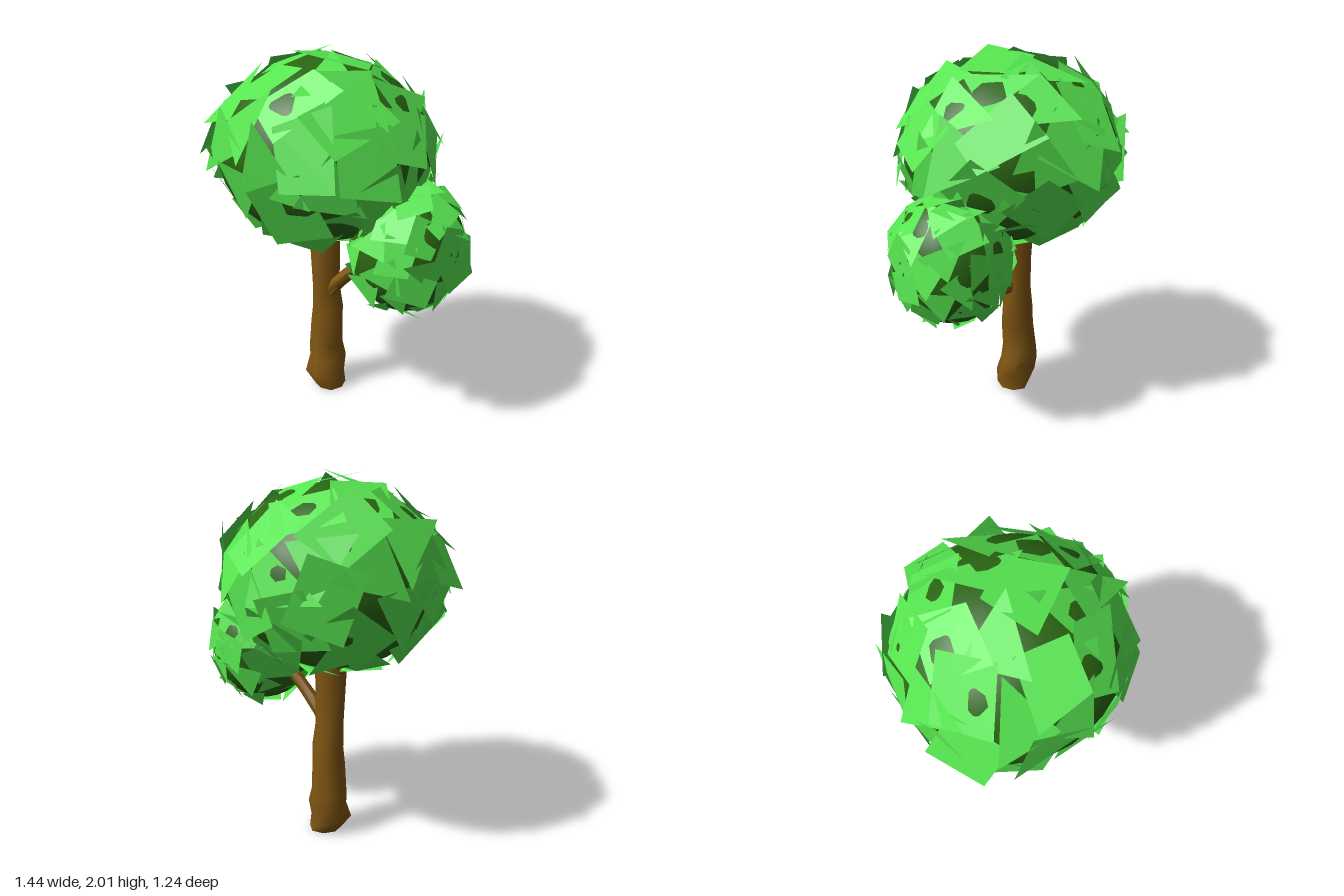
import * as THREE from 'three';
import { toCreasedNormals } from 'three/addons/utils/BufferGeometryUtils.js';

const barkMat = new THREE.MeshStandardMaterial({ color: 0x805612 });
const coreMat = new THREE.MeshStandardMaterial({ color: 0x2a6612 });
const leafMat = new THREE.MeshStandardMaterial({ color: 0x57e650, side: THREE.DoubleSide, flatShading: true });

// Small seeded random generator
function seeded(seed) {
  let s = seed;
  return () => (s = (s * 16807) % 2147483647) / 2147483647;
}

// Limb lofted through rings [x, y, z, radiusX, radiusZ], listed from the bottom up
function limb(name, rings, sides, wobble) {
  const n = rings.length - 1;
  const geo = new THREE.CylinderGeometry(1, 1, 1, sides, n);
  const p = geo.attributes.position;
  for (let i = 0; i < p.count; i++) {
    const k = Math.round((p.getY(i) + 0.5) * n);
    const [cx, cy, cz, rx, rz] = rings[k];
    const a = Math.atan2(p.getZ(i), p.getX(i));
    const w = 1 + wobble * Math.sin(3 * a + k * 1.7);
    p.setXYZ(i, cx + p.getX(i) * rx * w, cy, cz + p.getZ(i) * rz * w);
  }
  const mesh = new THREE.Mesh(toCreasedNormals(geo, 0.95), barkMat);
  mesh.name = name;
  return mesh;
}

// Dark rounded core wrapped in flat, tilted leaf sheets
function crown(name, { center, radii, count, size, lift, tilt, seed }) {
  const group = new THREE.Group();
  group.name = name;
  group.position.set(...center);
  const scale = new THREE.Vector3(...radii);

  const core = new THREE.Mesh(new THREE.IcosahedronGeometry(1, 5), coreMat);
  core.name = name + 'Core';
  core.scale.copy(scale);
  group.add(core);

  const rnd = seeded(seed);
  const spread = (v) => (rnd() - 0.5) * 2 * v;
  const zAxis = new THREE.Vector3(0, 0, 1);
  const verts = [];
  for (let i = 0; i < count; i++) {
    // even spiral over the ellipsoid
    const y = 1 - (2 * (i + 0.5)) / count;
    const a = i * 2.39996 + spread(0.1);
    const r = Math.sqrt(1 - y * y);
    const dir = new THREE.Vector3(Math.cos(a) * r, y, Math.sin(a) * r);
    const low = y < -0.5;
    const lean = low ? tilt * 2 : tilt;
    const normal = dir.clone().divide(scale).normalize();
    normal.add(new THREE.Vector3(spread(lean), spread(lean), spread(lean))).normalize();
    const q = new THREE.Quaternion().setFromUnitVectors(zAxis, normal);
    const pos = dir.multiply(scale).multiplyScalar(lift + spread(0.015));

    // irregular, slightly elongated sheet with three or four corners
    const corners = rnd() < 0.6 ? 4 : 3;
    const turn = rnd() * Math.PI * 2;
    const half = size * (low ? 0.75 : 1);
    const stretch = 1 + spread(0.15);
    const pts = [];
    for (let c = 0; c < corners; c++) {
      const t = ((c + 0.5) / corners) * Math.PI * 2 + spread(0.2);
      const len = half * (1 + spread(0.15));
      pts.push(new THREE.Vector3(Math.cos(t) * len * stretch, (Math.sin(t) * len) / stretch, 0)
        .applyAxisAngle(zAxis, turn).applyQuaternion(q).add(pos));
    }
    for (let c = 1; c < corners - 1; c++) {
      for (const v of [pts[0], pts[c], pts[c + 1]]) verts.push(v.x, v.y, v.z);
    }
  }
  const geo = new THREE.BufferGeometry();
  geo.setAttribute('position', new THREE.Float32BufferAttribute(verts, 3));
  geo.computeVertexNormals();
  const leaves = new THREE.Mesh(geo, leafMat);
  leaves.name = name + 'Leaves';
  group.add(leaves);
  return group;
}

export function createModel() {
  const tree = new THREE.Group();
  tree.name = 'tree';

  // Trunk, swollen near the ground
  tree.add(limb('trunk', [
    [-0.10, 0.00, -0.035, 0.09, 0.095],
    [-0.13, 0.08, -0.02, 0.12, 0.112],
    [-0.135, 0.18, -0.045, 0.112, 0.104],
    [-0.145, 0.26, -0.045, 0.1, 0.098],
    [-0.127, 0.42, -0.04, 0.096, 0.088],
    [-0.122, 0.52, -0.04, 0.093, 0.082],
    [-0.13, 0.66, -0.03, 0.08, 0.075],
    [-0.13, 0.85, -0.03, 0.088, 0.077],
    [-0.13, 1.0, -0.03, 0.094, 0.08],
    [-0.13, 1.2, -0.03, 0.09, 0.08],
  ], 8, 0.04));

  // Side branch reaching into the small crown
  tree.add(limb('branch', [
    [-0.12, 0.6, -0.02, 0.056, 0.042],
    [-0.05, 0.69, -0.025, 0.056, 0.042],
    [0.05, 0.79, -0.04, 0.055, 0.04],
    [0.15, 0.88, -0.06, 0.055, 0.038],
    [0.3, 1.0, -0.08, 0.05, 0.035],
  ], 7, 0.03));

  tree.add(crown('mainCrown', {
    center: [-0.105, 1.475, 0], radii: [0.575, 0.475, 0.55],
    count: 66, size: 0.215, lift: 1.005, tilt: 0.13, seed: 5501,
  }));
  tree.add(crown('sideCrown', {
    center: [0.4, 1.02, -0.085], radii: [0.285, 0.335, 0.31],
    count: 60, size: 0.125, lift: 1.015, tilt: 0.18, seed: 9011,
  }));
  return tree;
}
